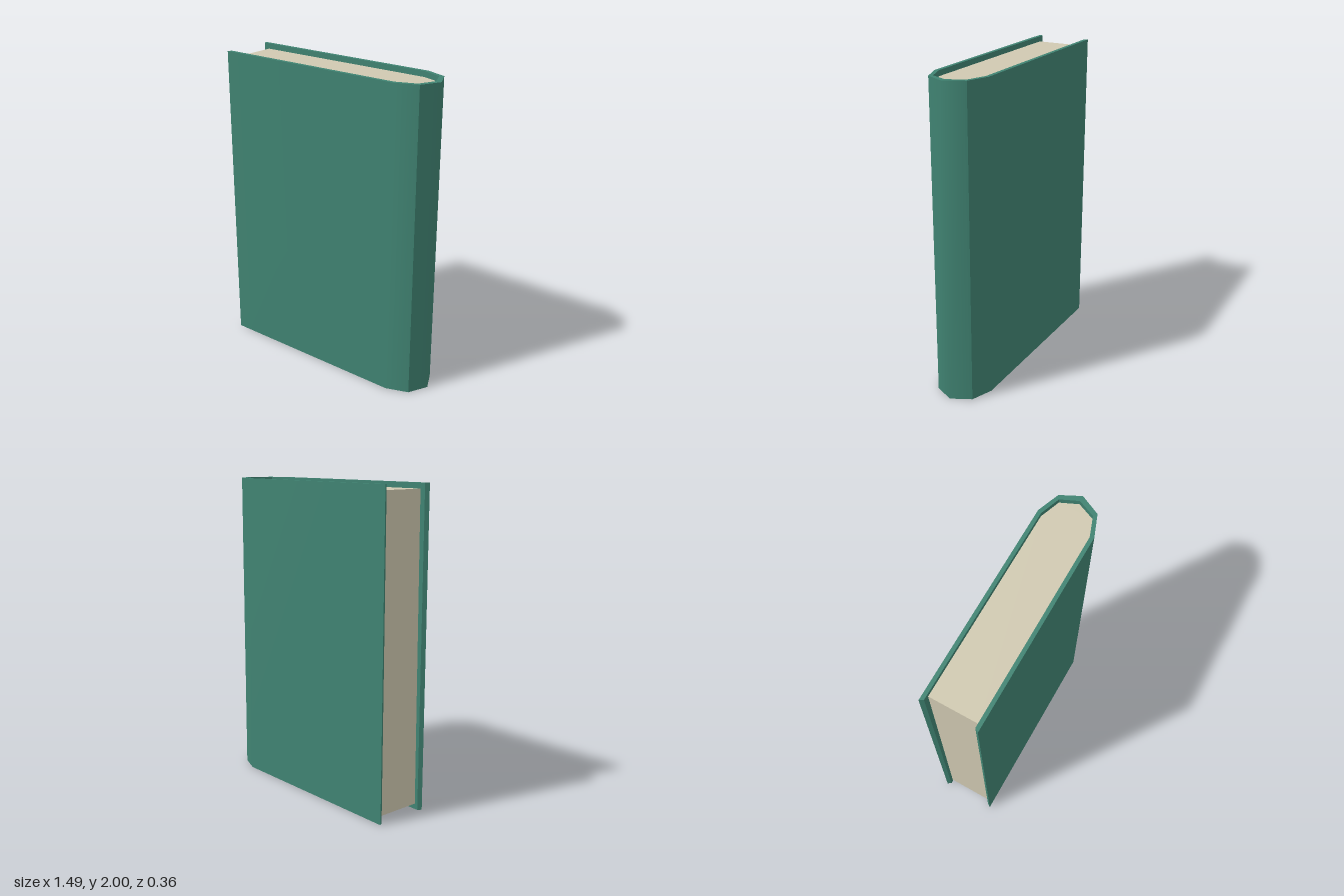
import * as THREE from 'three';
import { mergeGeometries } from 'three/addons/utils/BufferGeometryUtils.js';

const HEIGHT = 2;
const RECESS = 0.035;

// Mirror a half profile of [x, z] points (front edge to spine tip) onto the back
const mirror = (half) => [...half, ...half.slice(0, -1).reverse().map(([x, z]) => [x, -z])];

const OUTER = mirror([[-0.745, 0.178], [0.54, 0.178], [0.68, 0.125], [0.742, 0]]);
const INNER = mirror([[-0.73, 0.154], [0.53, 0.154], [0.657, 0.108], [0.705, 0]]);

// Smooth strip of quads between two rows of [x, z] points at given heights
function strip(a, ya, b, yb) {
  const pos = [], index = [];
  a.forEach(([x, z], i) => pos.push(x, ya, z, b[i][0], yb, b[i][1]));
  for (let i = 0; i < a.length - 1; i++) {
    const k = i * 2;
    index.push(k, k + 2, k + 3, k, k + 3, k + 1);
  }
  const g = new THREE.BufferGeometry();
  g.setAttribute('position', new THREE.Float32BufferAttribute(pos, 3));
  g.setIndex(index);
  g.computeVertexNormals();
  return g;
}

const wall = (pts) => strip(pts, 0, pts, HEIGHT);

function coverGeometry() {
  const parts = [];
  // Front board, spine and back board, with hard edges between them
  for (const [from, to] of [[0, 3], [2, 5], [4, 7]]) {
    parts.push(wall(OUTER.slice(from, to)));
    parts.push(wall(INNER.slice(from, to).reverse()));
  }
  // Top and bottom rims
  parts.push(strip(OUTER, HEIGHT, INNER, HEIGHT));
  parts.push(strip(INNER, 0, OUTER, 0));
  // Slanted free edges of the boards
  parts.push(wall([INNER[0], OUTER[0]]));
  parts.push(wall([OUTER[6], INNER[6]]));
  return mergeGeometries(parts);
}

function pagesGeometry() {
  const pts = INNER.map(([x, z]) => new THREE.Vector2(x < 0 ? -0.695 : x, -z));
  const g = new THREE.ExtrudeGeometry(new THREE.Shape(pts), {
    depth: HEIGHT - 2 * RECESS, bevelEnabled: false,
  });
  g.rotateX(-Math.PI / 2);
  g.translate(0, RECESS, 0);
  // Fore edge leans out slightly at the foot
  const p = g.attributes.position;
  for (let i = 0; i < p.count; i++) {
    if (p.getX(i) < 0 && p.getY(i) < 1) p.setX(i, -0.708);
  }
  g.computeVertexNormals();
  return g;
}

export function createModel() {
  const green = new THREE.MeshStandardMaterial({ color: 0x408372 });
  green.name = 'green cloth';
  const cream = new THREE.MeshStandardMaterial({ color: 0xd0c9b1 });
  cream.name = 'cream paper';

  const book = new THREE.Group();
  book.name = 'book';

  const cover = new THREE.Mesh(coverGeometry(), green);
  cover.name = 'cover';
  const pages = new THREE.Mesh(pagesGeometry(), cream);
  pages.name = 'pages';
  book.add(cover, pages);
  return book;
}
